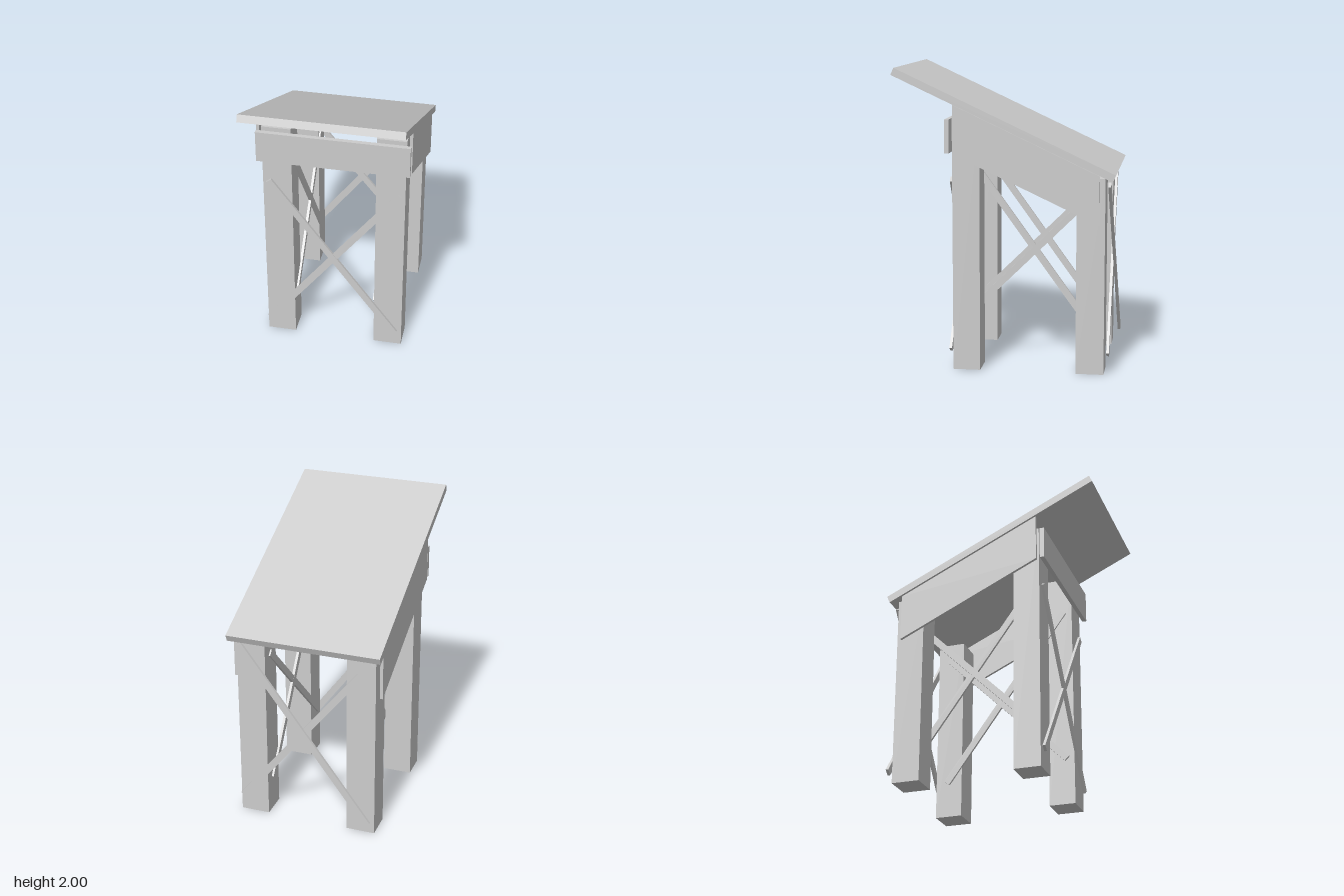
import * as THREE from 'three';

const material = new THREE.MeshStandardMaterial({ color: 0xcccccc, flatShading: true });

export function createModel() {
  const model = new THREE.Group();
  model.name = 'slantedRoofStand';

  const add = (geometry, name) => {
    const mesh = new THREE.Mesh(geometry, material);
    mesh.name = name;
    model.add(mesh);
    return mesh;
  };

  // Axis-aligned block from its minimum and maximum corners
  const block = (name, [x0, y0, z0], [x1, y1, z1]) =>
    add(new THREE.BoxGeometry(x1 - x0, y1 - y0, z1 - z0), name)
      .position.set((x0 + x1) / 2, (y0 + y1) / 2, (z0 + z1) / 2);

  // Side profile of (z, y) points extruded across x, centred on x
  const plate = (name, profile, x, width) => {
    const shape = new THREE.Shape(profile.map(([z, y]) => new THREE.Vector2(z, y)));
    const geometry = new THREE.ExtrudeGeometry(shape, { depth: width, bevelEnabled: false });
    geometry.translate(0, 0, -width / 2).rotateY(-Math.PI / 2);
    add(geometry, name).position.x = x;
  };

  // Thin slat between two points, its flat side facing the given normal
  const slat = (name, from, to, normal) => {
    const a = new THREE.Vector3(...from), b = new THREE.Vector3(...to);
    const along = b.clone().sub(a).normalize();
    const across = new THREE.Vector3().crossVectors(along, new THREE.Vector3(...normal)).normalize();
    const out = new THREE.Vector3().crossVectors(across, along);
    const mesh = add(new THREE.BoxGeometry(0.045, a.distanceTo(b), 0.018), name);
    mesh.quaternion.setFromRotationMatrix(new THREE.Matrix4().makeBasis(across, along, out));
    mesh.position.copy(a).add(b).multiplyScalar(0.5);
  };

  // Sloping roof board
  plate('roof', [[0.71, 2], [0.73, 1.955], [-0.71, 1.285], [-0.73, 1.33]], 0, 1.04);

  // Front fascia board
  block('frontBoard', [-0.505, 1.45, 0.355], [0.505, 1.67, 0.385]);

  for (const s of [1, -1]) {
    const side = s > 0 ? 'left' : 'right';
    const x0 = Math.min(s * 0.28, s * 0.475), x1 = Math.max(s * 0.28, s * 0.475);

    // Posts
    block(side + 'FrontLeg', [x0, 0, 0.16], [x1, 1.69, 0.34]);
    block(side + 'BackLeg', [x0, 0, -0.66], [x1, 1.3, -0.475]);

    // Slanted side panel under the roof
    plate(side + 'SidePanel',
      [[0.33, 1.765], [0.33, 1.445], [-0.625, 1], [-0.625, 1.32]], s * 0.5, 0.02);

    // Crossed slats on the inner faces of the posts
    slat(side + 'FallingSideBrace', [s * 0.278, 1.43, 0.28], [s * 0.274, 0.24, -0.58], [1, 0, 0]);
    slat(side + 'RisingSideBrace', [s * 0.274, 0.32, 0.29], [s * 0.278, 1.18, -0.58], [1, 0, 0]);
  }

  // Crossed slats on the front
  slat('frontBraceA', [-0.435, 1.285, 0.353], [0.43, 0.12, 0.364], [0, 0, 1]);
  slat('frontBraceB', [0.44, 1.275, 0.35], [-0.455, 0.12, 0.36], [0, 0, 1]);

  // Crossed slats on the back
  slat('backBraceA', [0.45, 1.26, -0.686], [-0.44, 0.09, -0.705], [0, 0, 1]);
  slat('backBraceB', [-0.45, 1.26, -0.675], [0.45, 0.13, -0.685], [0, 0, 1]);

  return model;
}
